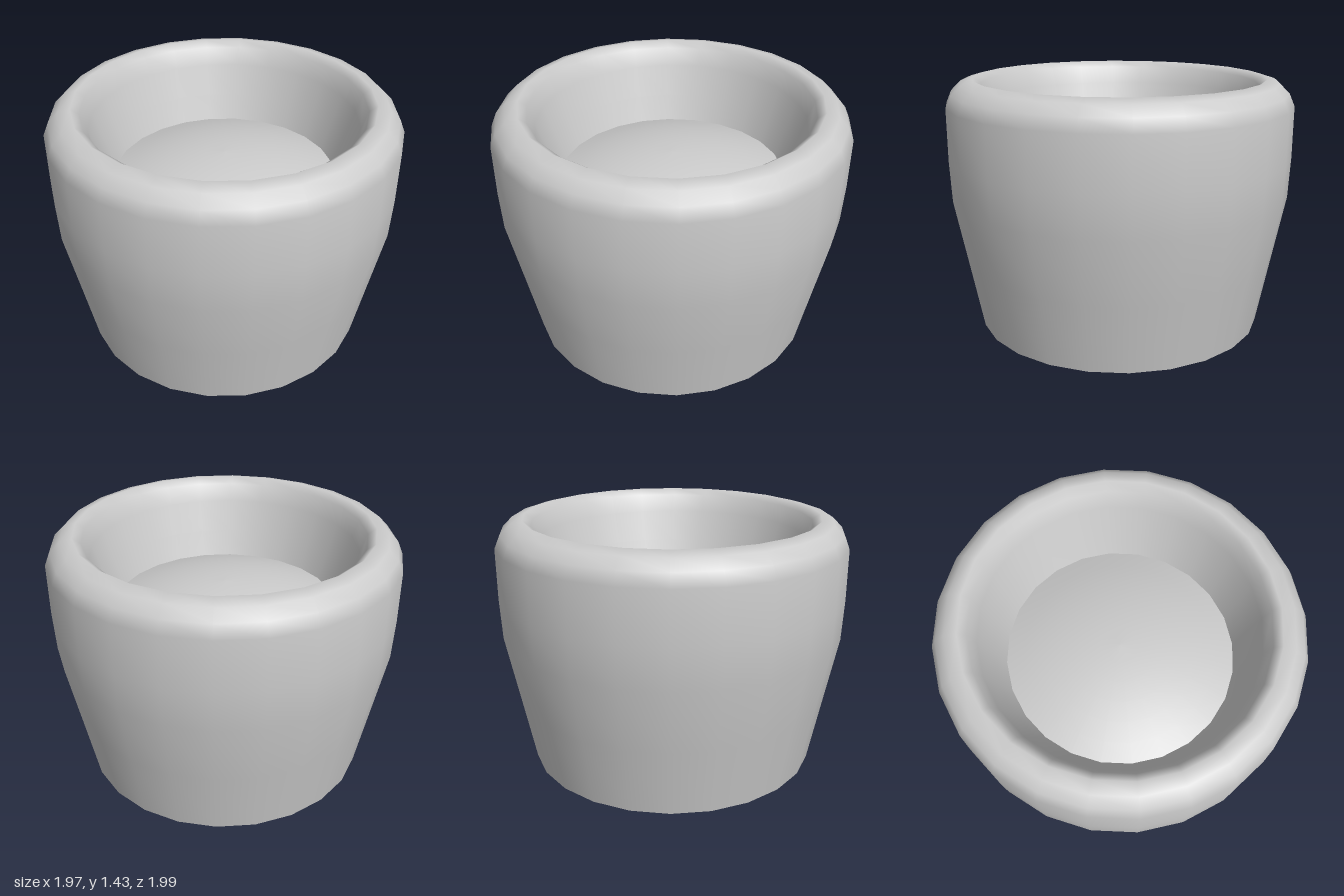
import * as THREE from 'three';

const SIDES = 24;

export function createModel() {
  const group = new THREE.Group();
  const material = new THREE.MeshStandardMaterial({ color: 0xcccccc, side: THREE.DoubleSide });

  // Each part is turned from a profile of [radius, height] points
  const turned = (name, profile) => {
    const points = profile.map(([r, y]) => new THREE.Vector2(r, y));
    const mesh = new THREE.Mesh(new THREE.LatheGeometry(points, SIDES), material);
    mesh.name = name;
    mesh.scale.z = 1.01;
    group.add(mesh);
  };

  // Flat underside
  turned('base', [[0, 0], [0.83, 0]]);

  // Tapering outer wall, rounded rim and sloping inner wall in one smooth skin
  turned('potWall', [
    [0.83, 0], [0.905, 0.4], [0.975, 0.77], [0.985, 1.0], [0.985, 1.29],
    [0.955, 1.36], [0.9, 1.415], [0.83, 1.435], [0.785, 1.4], [0.75, 1.3],
    [0.69, 1.12], [0.63, 0.95],
  ]);

  // Gently domed filling
  const dome = [];
  for (let i = 0; i <= 6; i++) {
    const t = 1 - i / 6;
    dome.push([0.64 * t, 0.97 + 0.13 * (1 - t * t)]);
  }
  turned('filling', dome);

  return group;
}
